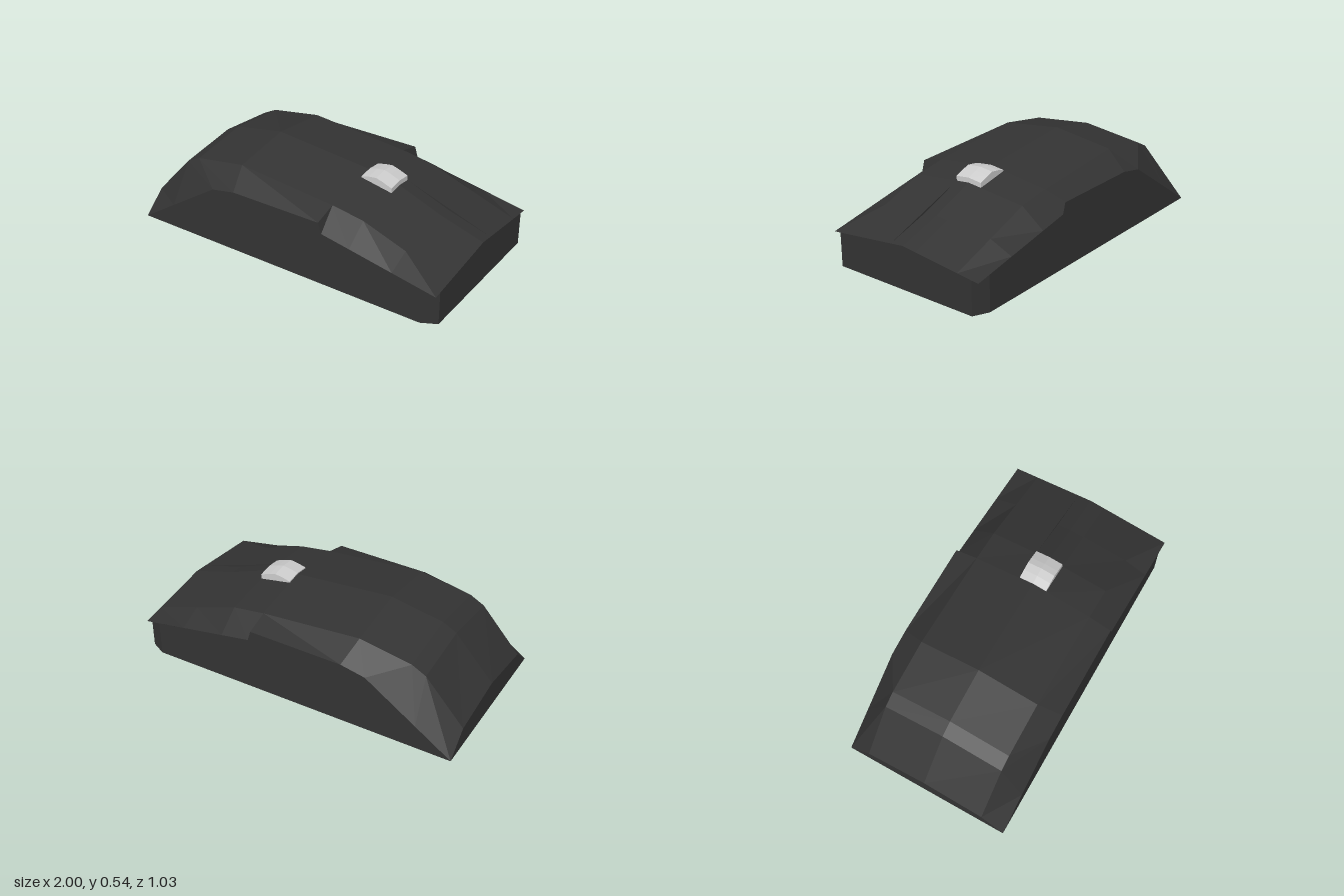
import * as THREE from 'three';

const dark = new THREE.MeshStandardMaterial({ color: 0x333333, flatShading: true, side: THREE.DoubleSide });
const grey = new THREE.MeshStandardMaterial({ color: 0xcccccc, flatShading: true });

const W = 0.515; // half width at the lower edge
const S = 0.375; // z of the shoulder line
const G = 0.087; // half width of the centre strip

// Faceted skin through rows of [x, y, z] points
function skin(name, rows, material = dark) {
  const pos = [];
  for (let i = 0; i < rows.length - 1; i++) {
    for (let j = 0; j < rows[i].length - 1; j++) {
      const a = rows[i][j], b = rows[i][j + 1], c = rows[i + 1][j], d = rows[i + 1][j + 1];
      pos.push(...a, ...c, ...b, ...b, ...c, ...d);
    }
  }
  const geo = new THREE.BufferGeometry();
  geo.setAttribute('position', new THREE.Float32BufferAttribute(pos, 3));
  geo.computeVertexNormals();
  const mesh = new THREE.Mesh(geo, material);
  mesh.name = name;
  return mesh;
}

const flip = ([x, y, z]) => [x, y, -z];
// Completes a half row (+z to the middle) with its mirror image
const mirrorRow = (half) => [...half, ...half.slice(0, -1).reverse().map(flip)];

export function createModel() {
  const model = new THREE.Group();
  model.name = 'computerMouse';

  // Sections: x, centre height, shoulder height, edge x, edge height
  const back = [
    [-1, 0.175, 0.125, -1, 0],
    [-0.765, 0.435, 0.39, -0.78, 0.15],
    [-0.68, 0.48, 0.435, -0.47, 0.36],
    [-0.36, 0.54, 0.49, -0.32, 0.39],
    [0.26, 0.485, 0.435, 0.26, 0.395],
  ];
  const front = [
    [0.26, 0.485, 0.435, 0.28, 0.33],
    [0.46, 0.445, 0.405, 0.46, 0.298],
    [0.73, 0.353, 0.31, 0.73, 0.249],
    [1, 0.26, 0.216, 1, 0.2],
  ];

  // Palm shell
  model.add(skin('palmShell', back.map(([x, c, s, ex, e]) =>
    mirrorRow([[ex, e, W], [x, s, S], [x, c, 0]]))));

  // Left and right buttons, with the short side drop behind each
  const stripY = (c, s) => c - (c - s) * G / S;
  const leftRows = front.map(([x, c, s, ex, e]) => [[ex, e, W], [x, s, S], [x, stripY(c, s), G]]);
  const step = [[0.26, 0.395, W], [0.26, 0.435, S], [0.26, stripY(0.485, 0.435), G]];
  const buttonRows = [step, ...leftRows];
  model.add(skin('rightButton', buttonRows));
  model.add(skin('leftButton', buttonRows.map((r) => r.map(flip).reverse())));

  // Slightly sunken strip between the buttons
  model.add(skin('centreStrip', front.map(([x, c, s], i) => {
    const y = stripY(c, s), dip = i === 2 ? 0.012 : 0;
    return mirrorRow([[x, y, G], [x, y - dip, G], [x, c - dip, 0]]);
  })));

  // Wall running round the base, each point joined to the floor
  const side = [
    ...back.map(([, , , ex, e]) => [ex, e, W]),
    [0.28, 0.33, W], [0.91, 0.216, W], [1, 0.205, 0.47], [1, 0.26, 0],
  ];
  const rear = [[-1, 0, -W], [-1, 0.125, -S], [-1, 0.175, 0], [-1, 0.125, S], [-1, 0, W]];
  const loop = [...mirrorRow(side), ...rear];
  model.add(skin('baseWall', loop.map(([x, y, z]) => [[x, 0, z], [x, y, z]])));

  // Floor with cut front corners
  model.add(skin('floor', [[-1, W], [0.91, W], [1, 0.47]].map(([x, w]) => [[x, 0, -w], [x, 0, w]])));

  // Undersides of the button corners
  for (const m of [1, -1]) {
    const rows = [[[0.91, 0.216, W * m], [0.91, 0.216, W * m]], [[1, 0.205, 0.47 * m], [1, 0.2, W * m]]];
    model.add(skin('buttonCornerUnderside', m > 0 ? rows : rows.map((r) => r.reverse())));
  }

  // Scroll wheel: arched top, end faces and sides
  const arch = [[0.262, 0.46], [0.262, 0.49], [0.31, 0.503], [0.36, 0.51], [0.4, 0.498], [0.46, 0.475], [0.46, 0.44]];
  const wheel = new THREE.Group();
  wheel.name = 'scrollWheel';
  wheel.add(skin('wheelTread', arch.map(([x, y]) =>
    mirrorRow([[x, y - 0.01, G], [x, y, 0]])), grey));
  for (const m of [1, -1]) {
    const rows = arch.slice(1, -1).map(([x, y]) => [[x, 0.42, G * m], [x, y - 0.01, G * m]]);
    wheel.add(skin('wheelSide', m > 0 ? rows : rows.map((r) => r.reverse()), grey));
  }
  model.add(wheel);

  return model;
}
